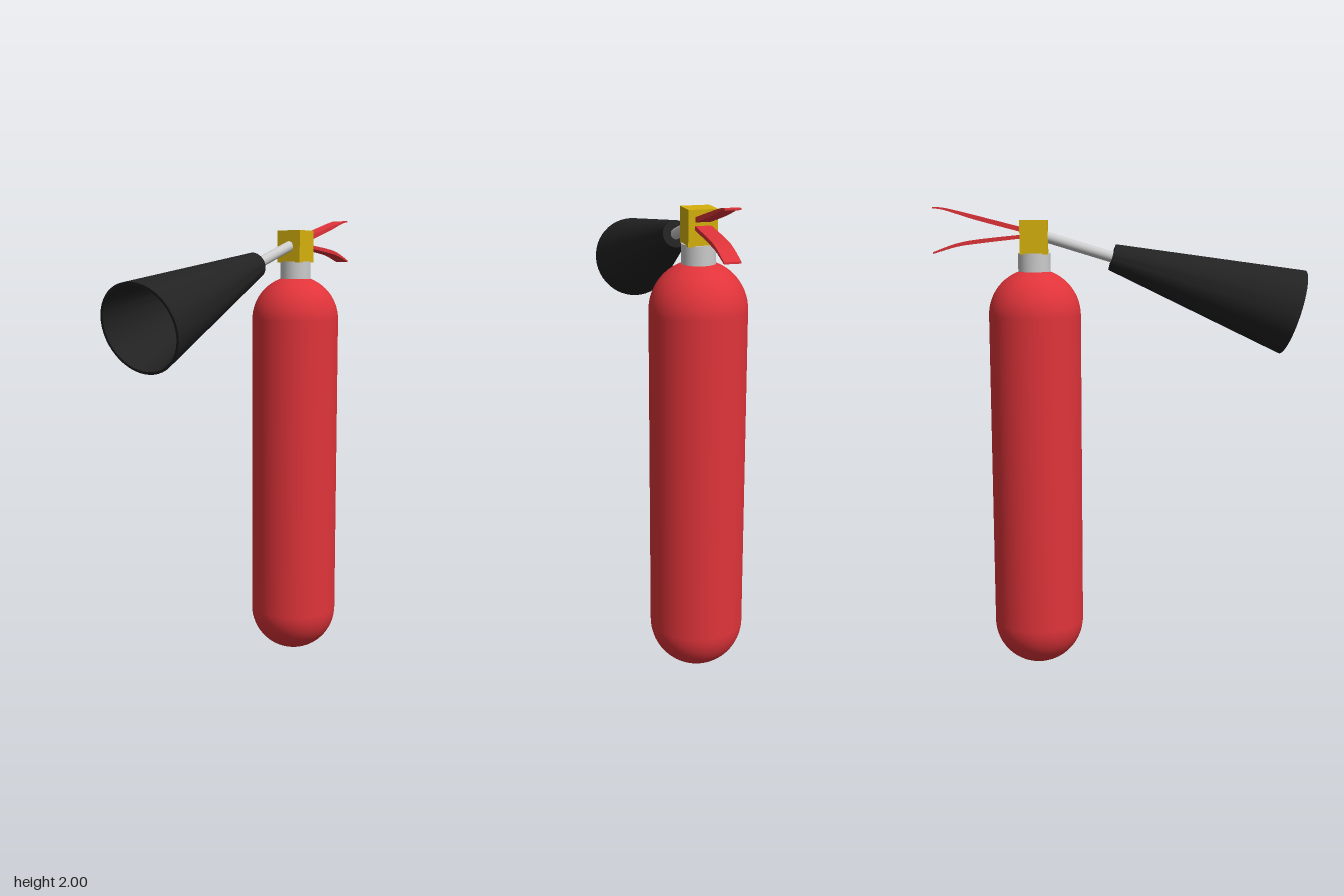
import * as THREE from 'three';
import { toCreasedNormals } from 'three/addons/utils/BufferGeometryUtils.js';

const paint = (color, side = THREE.FrontSide) => new THREE.MeshStandardMaterial({ color, side });
const V = (x, y) => new THREE.Vector2(x, y);

export function createModel() {
  const group = new THREE.Group();
  const red = paint(0xe0343a), gold = paint(0xd6b10c), grey = paint(0xcccccc);
  const black = paint(0x222222, THREE.DoubleSide);
  const axisZ = -0.366; // upright axis of the tank

  const add = (name, geometry, material, y = 0, z = axisZ) => {
    const mesh = new THREE.Mesh(geometry, material);
    mesh.name = name;
    mesh.position.set(0, y, z);
    group.add(mesh);
    return mesh;
  };

  // Tank with domed ends, neck collar and valve block
  add('tank', new THREE.CapsuleGeometry(0.195, 1.355, 16, 48), red, 0.8725);
  add('neck', new THREE.CylinderGeometry(0.068, 0.068, 0.12, 32), grey, 1.75);
  add('valveBlock', new THREE.BoxGeometry(0.117, 0.142, 0.117), gold, 1.876);

  // Discharge pipe and horn share one sloping axis; local +y points to the mouth
  const tilt = Math.PI / 2 + Math.atan2(0.235, 0.774);
  const pipe = new THREE.CylinderGeometry(0.023, 0.023, 0.36, 24).translate(0, -0.16, 0);
  add('dischargePipe', pipe, grey, 1.793, -0.037).rotation.x = tilt;

  // Hollow horn: closed rear, outer wall, rim, inner wall, inner end
  const hornProfile = [V(0, 0), V(0.056, 0), V(0.185, 0.809), V(0.174, 0.809), V(0.046, 0.012), V(0, 0.012)];
  const horn = toCreasedNormals(new THREE.LatheGeometry(hornProfile, 48), 0.6);
  add('horn', horn, black, 1.793, -0.037).rotation.x = tilt;

  // Lever and carrying handle: side outlines (distance back, height) extruded across x
  const grip = (name, top, bottom, width) => {
    const shape = new THREE.Shape();
    shape.moveTo(...top[0]);
    shape.splineThru(top.slice(1).map(p => V(...p)));
    const under = [...bottom].reverse();
    shape.lineTo(...under[0]);
    shape.splineThru(under.slice(1).map(p => V(...p)));
    const geometry = new THREE.ExtrudeGeometry(shape, { depth: width, bevelEnabled: false, curveSegments: 10 });
    geometry.translate(0, 0, -width / 2).rotateY(Math.PI / 2);
    add(name, toCreasedNormals(geometry, 0.6), red, 0, 0);
  };
  grip('lever',
    [[0.4, 1.913], [0.605, 1.965], [0.735, 1.996], [0.785, 2.0]],
    [[0.4, 1.893], [0.605, 1.947], [0.735, 1.987], [0.785, 1.994]], 0.06);
  grip('carryHandle',
    [[0.4, 1.888], [0.6, 1.867], [0.69, 1.85], [0.787, 1.815]],
    [[0.4, 1.873], [0.6, 1.85], [0.69, 1.836], [0.787, 1.808]], 0.064);

  return group;
}
